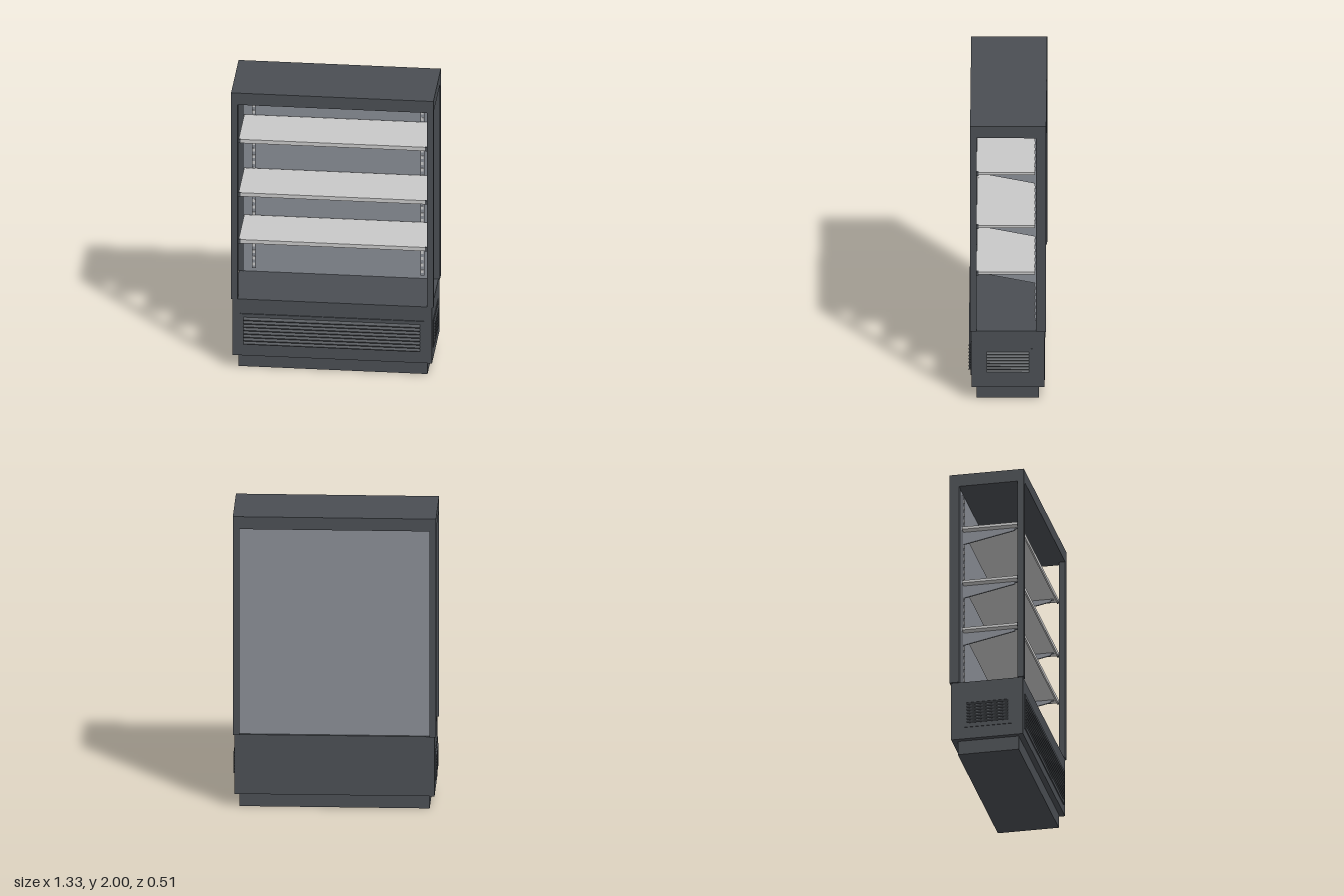
import * as THREE from 'three';

const mat = (name, color) => {
  const m = new THREE.MeshStandardMaterial({ color });
  m.name = name;
  return m;
};

export function createModel() {
  const model = new THREE.Group();
  model.name = 'openDisplayCabinet';
  const dark = mat('charcoalMetal', 0x4a4e53);
  const grey = mat('greyPanel', 0x888c94);
  const light = mat('lightShelf', 0xc8c8c8);

  // Box given by its extents on each axis
  const box = (name, m, x0, x1, y0, y1, z0, z1, parent = model) => {
    const mesh = new THREE.Mesh(new THREE.BoxGeometry(x1 - x0, y1 - y0, z1 - z0), m);
    mesh.position.set((x0 + x1) / 2, (y0 + y1) / 2, (z0 + z1) / 2);
    mesh.name = name;
    parent.add(mesh);
    return mesh;
  };

  // Side profile of [z, y] points, extruded along x about a centre
  const profile = (name, m, points, x, width, parent) => {
    const shape = new THREE.Shape(points.map(([z, y]) => new THREE.Vector2(-z, y)));
    const geo = new THREE.ExtrudeGeometry(shape, { depth: width, bevelEnabled: false });
    geo.translate(0, 0, -width / 2).rotateY(Math.PI / 2);
    const mesh = new THREE.Mesh(geo, m);
    mesh.position.x = x;
    mesh.name = name;
    parent.add(mesh);
  };

  // Plinth, machine base and header
  box('plinth', dark, -0.622, 0.622, 0, 0.095, -0.208, 0.2);
  box('base', dark, -0.655, 0.655, 0.095, 0.503, -0.245, 0.235);
  box('header', dark, -0.665, 0.665, 1.915, 2, -0.255, 0.243);

  // Corner posts
  for (const s of [-1, 1]) {
    const [a, b] = s < 0 ? [-0.665, -0.622] : [0.622, 0.665];
    box('frontPost', dark, a, b, 0.503, 1.915, 0.2, 0.243);
    box('backPost', dark, a, b, 0.503, 1.915, -0.255, -0.19);
  }
  box('backPanel', grey, -0.622, 0.622, 0.503, 1.915, -0.228, -0.192);

  // Slotted shelf rails
  for (const x of [-0.557, 0.551]) {
    box('shelfRail', grey, x - 0.013, x + 0.013, 0.53, 1.895, -0.192, -0.181);
    for (let y = 0.55; y < 1.88; y += 0.046)
      box('railSlot', light, x - 0.008, x + 0.008, y, y + 0.022, -0.181, -0.177);
  }

  // Shelves with price strip, end caps and tapered brackets
  for (const y of [1.645, 1.258, 0.918]) {
    const shelf = new THREE.Group();
    shelf.name = 'shelf';
    model.add(shelf);
    box('shelfPlate', light, -0.62, 0.62, y - 0.02, y - 0.002, -0.181, 0.19, shelf);
    box('priceStrip', light, -0.606, 0.606, y - 0.027, y, 0.19, 0.201, shelf);
    for (const s of [-1, 1]) {
      box('stripEndCap', dark, s * 0.614 - 0.008, s * 0.614 + 0.008, y - 0.028, y, 0.189, 0.202, shelf);
      profile('shelfBracket', grey, [
        [-0.181, y - 0.02], [-0.181, y - 0.107], [0.16, y - 0.038], [0.16, y - 0.028],
        [0.178, y - 0.026], [0.178, y - 0.02],
      ], s * 0.565, 0.01, shelf);
    }
  }

  // Louvred grille facing +z: raised border and sloped slats
  const grille = (name, width, height, slats, depth) => {
    const g = new THREE.Group();
    g.name = name;
    const w = width / 2, h = height / 2, e = 0.024;
    box('grilleBorder', dark, -w, w, h - e, h, 0, depth * 0.4, g);
    box('grilleBorder', dark, -w, w, -h, -h + e, 0, depth * 0.4, g);
    box('grilleBorder', dark, -w, -w + e, -h + e, h - e, 0, depth * 0.4, g);
    box('grilleBorder', dark, w - e, w, -h + e, h - e, 0, depth * 0.4, g);
    const step = (height - 2 * e) / slats;
    for (let i = 0; i < slats; i++) {
      const y = -h + e + i * step;
      profile('slat', dark, [
        [0, y + step * 0.9], [0, y + step * 0.3], [depth, y + step * 0.1], [depth, y + step * 0.35],
      ], 0, width - 2 * e, g);
    }
    model.add(g);
    return g;
  };
  grille('frontGrille', 1.21, 0.245, 8, 0.017).position.set(-0.003, 0.277, 0.235);
  for (const s of [-1, 1]) {
    const g = grille('sideGrille', 0.325, 0.2, 7, 0.011);
    g.position.set(s * 0.655, 0.276, -0.003);
    g.rotation.y = s * Math.PI / 2;
  }
  return model;
}
